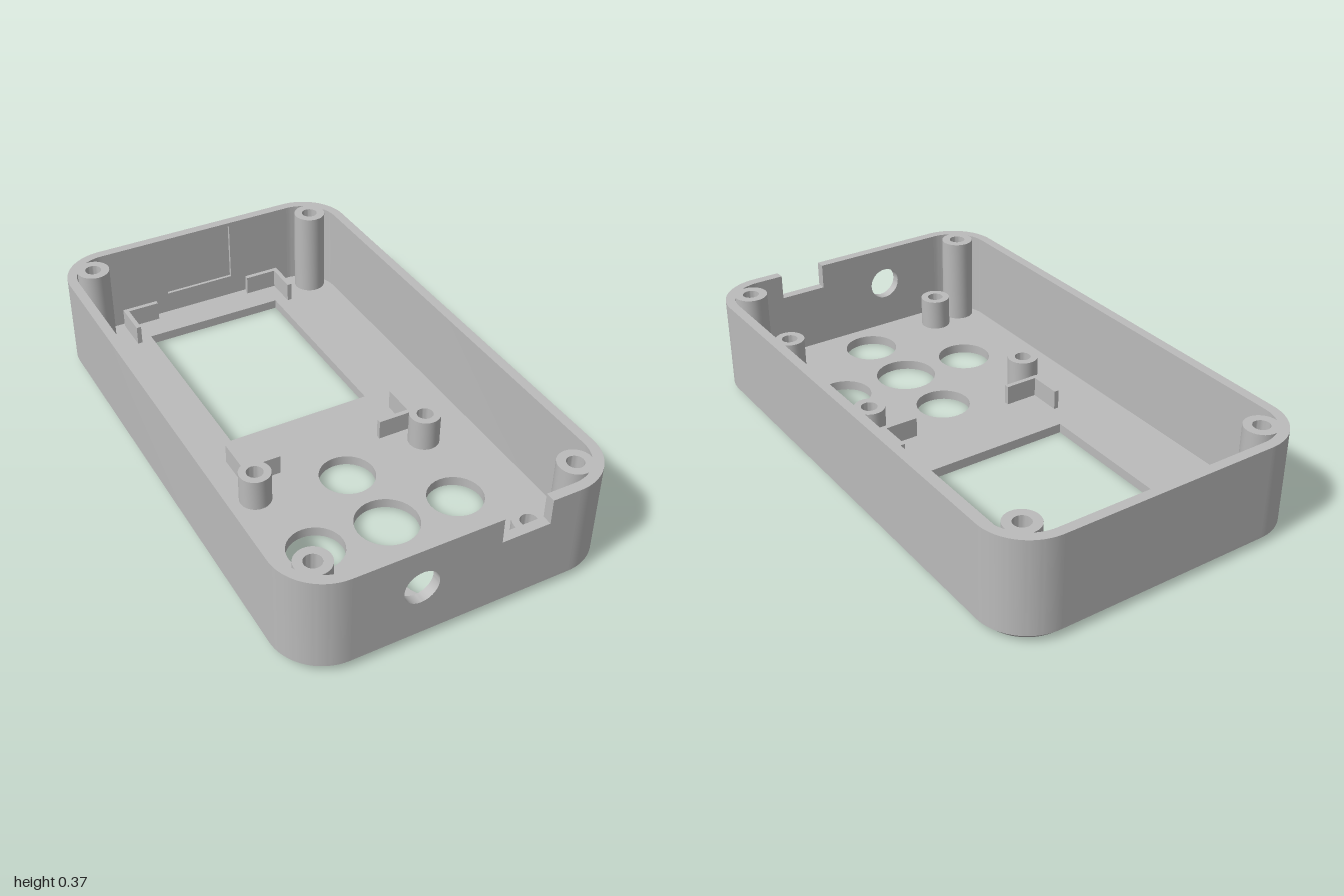
import * as THREE from 'three';
import { toCreasedNormals } from 'three/addons/utils/BufferGeometryUtils.js';

const W = 0.58, L = 1, H = 0.37;      // half width, half length, height
const R = 0.18, T = 0.036;            // outer corner radius, wall and floor thickness
const CX = W - R, CZ = L - R;         // centres of the corner arcs
const CHAMFER = 0.027;

const plastic = new THREE.MeshStandardMaterial({ color: 0xbbbbbb });
plastic.name = 'grey plastic';

function add(parent, name, geometry) {
  const mesh = new THREE.Mesh(toCreasedNormals(geometry, Math.PI / 6), plastic);
  mesh.name = name;
  parent.add(mesh);
  return mesh;
}

// Extrudes a plan outline (x, z) so it fills y0 to y1
function extrudeUp(shape, y0, y1, steps = 1) {
  const g = new THREE.ExtrudeGeometry(shape, { depth: y1 - y0, steps, bevelEnabled: false, curveSegments: 16 });
  return g.rotateX(Math.PI / 2).translate(0, y1, 0);
}

// Extrudes an elevation outline (x, y) from z0 to z1
function extrudeBack(shape, z0, z1) {
  const g = new THREE.ExtrudeGeometry(shape, { depth: z1 - z0, bevelEnabled: false, curveSegments: 24 });
  return g.translate(0, 0, z0);
}

function rect(x0, y0, x1, y1, Type = THREE.Shape) {
  return new Type([[x0, y0], [x1, y0], [x1, y1], [x0, y1]].map(p => new THREE.Vector2(...p)));
}

function circle(x, y, r) {
  return new THREE.Path().absarc(x, y, r, 0, Math.PI * 2, true);
}

// Floor plate with screen window, button holes and a chamfered lower edge
function floorGeometry() {
  const s = new THREE.Shape();
  s.absarc(CX, CZ, R, 0, Math.PI / 2);
  s.absarc(-CX, CZ, R, Math.PI / 2, Math.PI);
  s.absarc(-CX, -CZ, R, Math.PI, Math.PI * 1.5);
  s.absarc(CX, -CZ, R, Math.PI * 1.5, Math.PI * 2);
  s.holes.push(rect(-0.277, -0.83, 0.277, -0.09, THREE.Path));
  for (const [x, z, r] of [[0, 0.27, 0.1], [-0.27, 0.54, 0.1], [0, 0.54, 0.113], [0.27, 0.54, 0.1], [0, 0.81, 0.1]]) {
    s.holes.push(circle(x, z, r));
  }
  const g = extrudeUp(s, 0, T, 4);
  const p = g.attributes.position;
  for (let i = 0; i < p.count; i++) {
    const x = p.getX(i), z = p.getZ(i);
    const cx = THREE.MathUtils.clamp(x, -CX, CX), cz = THREE.MathUtils.clamp(z, -CZ, CZ);
    if (Math.hypot(x - cx, z - cz) < R - 0.002) continue;
    const k = 1 - Math.max(0, CHAMFER - p.getY(i)) / R;
    p.setX(i, cx + (x - cx) * k);
    p.setZ(i, cz + (z - cz) * k);
  }
  return g;
}

// Long side wall with both rounded corners, on +x or -x
function sideWall(side) {
  const s = new THREE.Shape();
  const q = Math.PI / 2;
  if (side > 0) {
    s.absarc(CX, -CZ, R, -q, 0);
    s.absarc(CX, CZ, R, 0, q);
    s.absarc(CX, CZ, R - T, q, 0, true);
    s.absarc(CX, -CZ, R - T, 0, -q, true);
  } else {
    s.absarc(-CX, CZ, R, q, 2 * q);
    s.absarc(-CX, -CZ, R, 2 * q, 3 * q);
    s.absarc(-CX, -CZ, R - T, 3 * q, 2 * q, true);
    s.absarc(-CX, CZ, R - T, 2 * q, q, true);
  }
  return extrudeUp(s, T, H);
}

// Hollow round post with a blind bore
function postGeometry(r, bore, top) {
  const pts = [[r, T - 0.005], [r, top], [bore, top], [bore, T + 0.002], [0, T + 0.002]];
  return new THREE.LatheGeometry(pts.map(p => new THREE.Vector2(...p)), 32);
}

export function createModel() {
  const model = new THREE.Group();
  model.name = 'enclosureShell';

  add(model, 'floor', floorGeometry());
  add(model, 'leftWall', sideWall(1));
  add(model, 'rightWall', sideWall(-1));

  // Front wall with a round cable hole and an open notch in the rim
  const front = new THREE.Shape([
    [-CX, T], [CX, T], [CX, H], [0.297, H], [0.297, 0.276], [0.12, 0.276], [0.12, H], [-CX, H],
  ].map(p => new THREE.Vector2(...p)));
  front.holes.push(circle(-0.16, 0.22, 0.062));
  add(model, 'frontWall', extrudeBack(front, L - T, L));

  // Back wall with a shallow pocket on its inner face
  const pocket = 0.012;
  add(model, 'backWall', extrudeBack(rect(-CX, T, CX, H), -L, -L + T - pocket));
  const lining = rect(-CX, T, CX, H);
  lining.holes.push(rect(-0.141, 0.12, 0.141, 0.355, THREE.Path));
  add(model, 'backPocketFrame', extrudeBack(lining, -L + T - pocket, -L + T));

  // Screw posts in the corners, board standoffs around the buttons
  for (const side of [-1, 1]) {
    for (const z of [-0.885, 0.885]) {
      add(model, 'cornerPost', postGeometry(0.061, 0.03, H)).position.set(side * 0.465, 0, z);
    }
    for (const z of [0.23, 0.855]) {
      add(model, 'standoff', postGeometry(0.057, 0.03, 0.155)).position.set(side * 0.335, 0, z);
    }
  }

  // L-shaped brackets that locate the screen
  const arm = 0.142, t = 0.018;
  for (const sx of [-1, 1]) {
    for (const [z, sz] of [[-0.95, -1], [0.15, 1]]) {
      const x = sx * 0.341;
      const bracket = new THREE.Shape([
        [x, z], [x - sx * arm, z], [x - sx * arm, z - sz * t], [x - sx * t, z - sz * t],
        [x - sx * t, z - sz * arm], [x, z - sz * arm],
      ].map(p => new THREE.Vector2(...p)));
      add(model, 'screenBracket', extrudeUp(bracket, T - 0.005, 0.11));
    }
  }
  return model;
}
